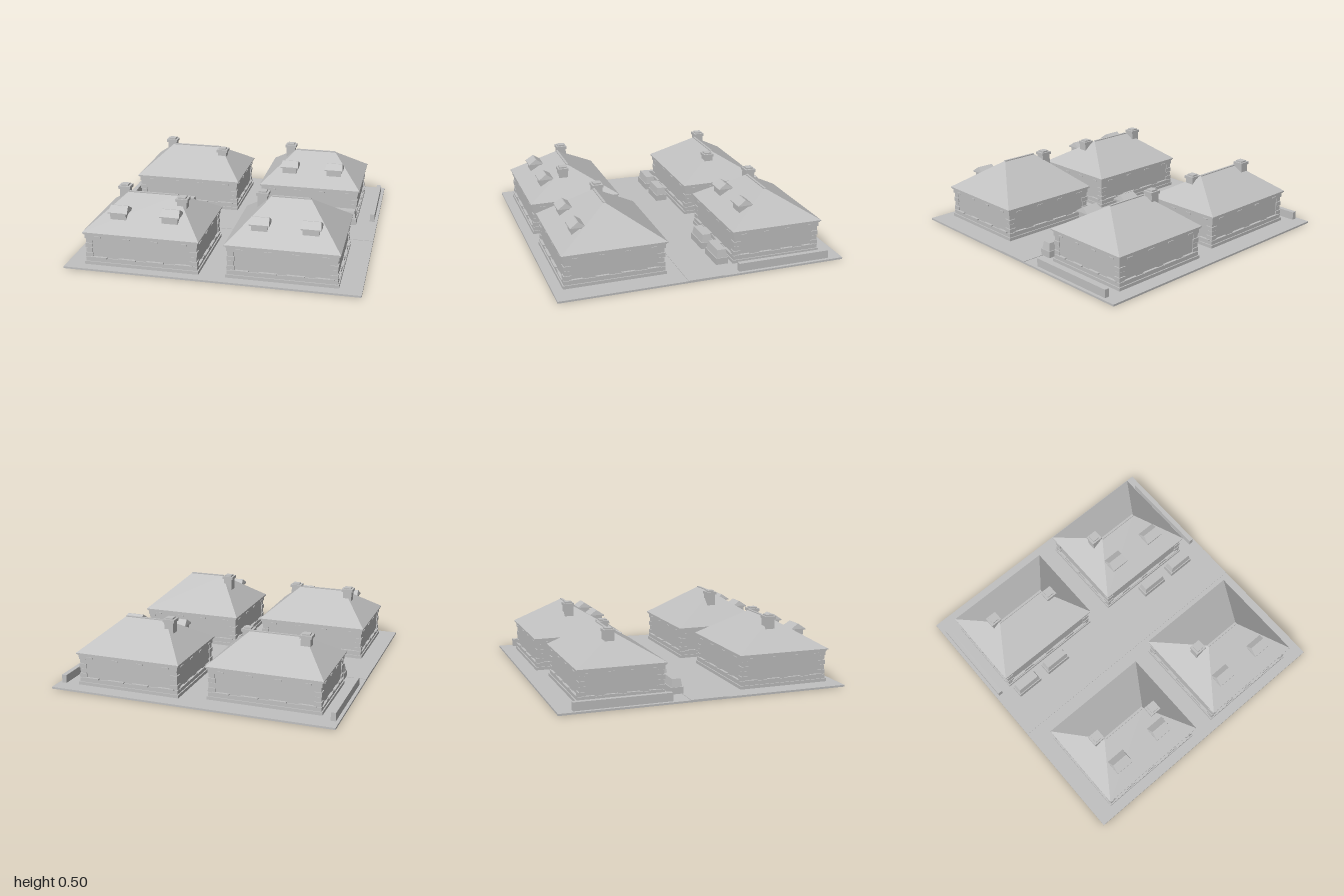
import * as THREE from 'three';

const stone = new THREE.MeshStandardMaterial({ color: 0xc0c0c0 });
stone.name = 'plain stone grey';

function add(parent, name, geometry) {
  const mesh = new THREE.Mesh(geometry, stone);
  mesh.name = name;
  parent.add(mesh);
  return mesh;
}

// Box given by its minimum and maximum on each axis
function box(parent, name, x0, x1, y0, y1, z0, z1) {
  const mesh = add(parent, name, new THREE.BoxGeometry(x1 - x0, y1 - y0, z1 - z0));
  mesh.position.set((x0 + x1) / 2, (y0 + y1) / 2, (z0 + z1) / 2);
  return mesh;
}

// Box whose top is a smaller rectangle (or a line)
function taper(parent, name, x0, x1, y0, y1, z0, z1, insetX, insetZ) {
  const mesh = box(parent, name, x0, x1, y0, y1, z0, z1);
  const p = mesh.geometry.attributes.position;
  for (let i = 0; i < p.count; i++) {
    if (p.getY(i) < 0) continue;
    p.setX(i, p.getX(i) - Math.sign(p.getX(i)) * insetX);
    p.setZ(i, p.getZ(i) - Math.sign(p.getZ(i)) * insetZ);
  }
  const flat = mesh.geometry.toNonIndexed();
  flat.computeVertexNormals();
  mesh.geometry = flat;
  return mesh;
}

function dormer(parent, x, z) {
  const g = new THREE.Group();
  g.name = 'dormer';
  parent.add(g);
  box(g, 'dormerBody', x - 0.055, x + 0.055, 0.312, 0.36, z - 0.045, z + 0.045);
  box(g, 'dormerEave', x - 0.068, x + 0.068, 0.356, 0.364, z - 0.055, z + 0.058);
  taper(g, 'dormerRoof', x - 0.068, x + 0.068, 0.364, 0.4, z - 0.055, z + 0.058, 0.008, 0.053);
}

function chimney(parent, x, z, top) {
  const g = new THREE.Group();
  g.name = 'chimney';
  parent.add(g);
  box(g, 'chimneyShaft', x - 0.033, x + 0.033, 0.28, top - 0.03, z - 0.033, z + 0.033);
  box(g, 'chimneyCap', x - 0.042, x + 0.042, top - 0.03, top - 0.01, z - 0.038, z + 0.038);
  box(g, 'chimneyPot', x - 0.026, x + 0.026, top - 0.01, top, z - 0.026, z + 0.026);
}

// Walls, trim and hipped roof over an eave rectangle
function house(parent, { x0, x1, z0, z1, ridgeY, chimneys, dormers }) {
  const g = new THREE.Group();
  g.name = 'house';
  parent.add(g);
  const slab = (name, inset, y0, y1) =>
    box(g, name, x0 + inset, x1 - inset, y0, y1, z0 + inset, z1 - inset);
  slab('plinth', 0.006, 0.001, 0.035);
  slab('plinthStep', 0.014, 0.03, 0.062);
  slab('walls', 0.022, 0.03, 0.21);
  slab('cornice', 0.012, 0.2, 0.232);
  slab('eaves', 0, 0.238, 0.246);
  slab('soffit', 0.006, 0.23, 0.24);

  // Alternating corner stones
  for (const cx of [x0 + 0.04, x1 - 0.04])
    for (const cz of [z0 + 0.04, z1 - 0.04])
      for (let i = 0; i < 4; i++) {
        const r = i % 2 ? 0.022 : 0.026;
        box(g, 'cornerStone', cx - r, cx + r, 0.066 + i * 0.034, 0.096 + i * 0.034, cz - r, cz + r);
      }

  // Window sills low down and small blocks under the cornice
  const w = x1 - x0, d = z1 - z0;
  for (const f of [0.13, 0.38, 0.62, 0.87]) {
    const x = x0 + f * w, z = z0 + f * d;
    for (const [e, s] of [[z0, 1], [z1, -1]]) {
      const c = e + s * 0.014;
      box(g, 'sill', x - 0.06, x + 0.06, 0.062, 0.07, c - 0.01, c + 0.01);
      box(g, 'corniceBlock', x - 0.024, x + 0.024, 0.21, 0.219, c - 0.008, c + 0.008);
    }
    for (const [e, s] of [[x0, 1], [x1, -1]]) {
      const c = e + s * 0.014;
      box(g, 'sill', c - 0.01, c + 0.01, 0.062, 0.07, z - 0.045, z + 0.045);
      box(g, 'corniceBlock', c - 0.008, c + 0.008, 0.21, 0.219, z - 0.02, z + 0.02);
    }
  }

  // Roof with a ridge along x
  const hip = d * 0.345, zm = (z0 + z1) / 2;
  taper(g, 'roof', x0, x1, 0.246, ridgeY, z0, z1, hip, d / 2 - 0.003);
  box(g, 'ridgeCap', x0 + hip, x1 - hip, ridgeY - 0.01, ridgeY + 0.004, zm - 0.008, zm + 0.008);
  chimneys.forEach(([x, z, top]) => chimney(g, x, z, top));
  dormers.forEach(([x, z]) => dormer(g, x, z));
}

export function createModel() {
  const model = new THREE.Group();
  model.name = 'houseBlock';

  // Ground and the lane between the two rows
  box(model, 'ground', -1, 1, 0, 0.013, -1, 1);
  box(model, 'lane', -1, 1, 0.01, 0.016, -0.125, 0.13);

  const houses = [
    { x0: -0.88, x1: -0.075, z0: -0.85, z1: -0.24, ridgeY: 0.425,
      chimneys: [[-0.69, -0.585, 0.465], [-0.255, -0.495, 0.435]], dormers: [] },
    { x0: 0.095, x1: 0.855, z0: -0.9, z1: -0.24, ridgeY: 0.438,
      chimneys: [[0.275, -0.605, 0.477]], dormers: [[0.305, -0.395], [0.645, -0.395]] },
    { x0: -0.88, x1: -0.075, z0: 0.275, z1: 0.935, ridgeY: 0.438,
      chimneys: [[-0.69, 0.565, 0.477], [-0.255, 0.655, 0.45]], dormers: [[-0.66, 0.78], [-0.3, 0.78]] },
    { x0: 0.095, x1: 0.855, z0: 0.22, z1: 0.935, ridgeY: 0.475,
      chimneys: [[0.275, 0.54, 0.497]], dormers: [[0.305, 0.78], [0.645, 0.78]] },
  ];
  houses.forEach((h) => house(model, h));

  // Low walls along both sides of the back row
  for (const s of [-1, 1])
    box(model, 'boundaryWall', s * 0.96 - 0.017, s * 0.96 + 0.017, 0.01, 0.07, -0.9, -0.24);

  // Parked cars: lower body and cabin
  for (const x of [-0.76, -0.49, 0.48, 0.75]) {
    const g = new THREE.Group();
    g.name = 'parkedCar';
    model.add(g);
    box(g, 'carBody', x - 0.1, x + 0.1, 0.022, 0.068, -0.212, -0.125);
    taper(g, 'carCabin', x - 0.094, x + 0.094, 0.068, 0.122, -0.206, -0.131, 0.01, 0.008);
  }
  return model;
}
